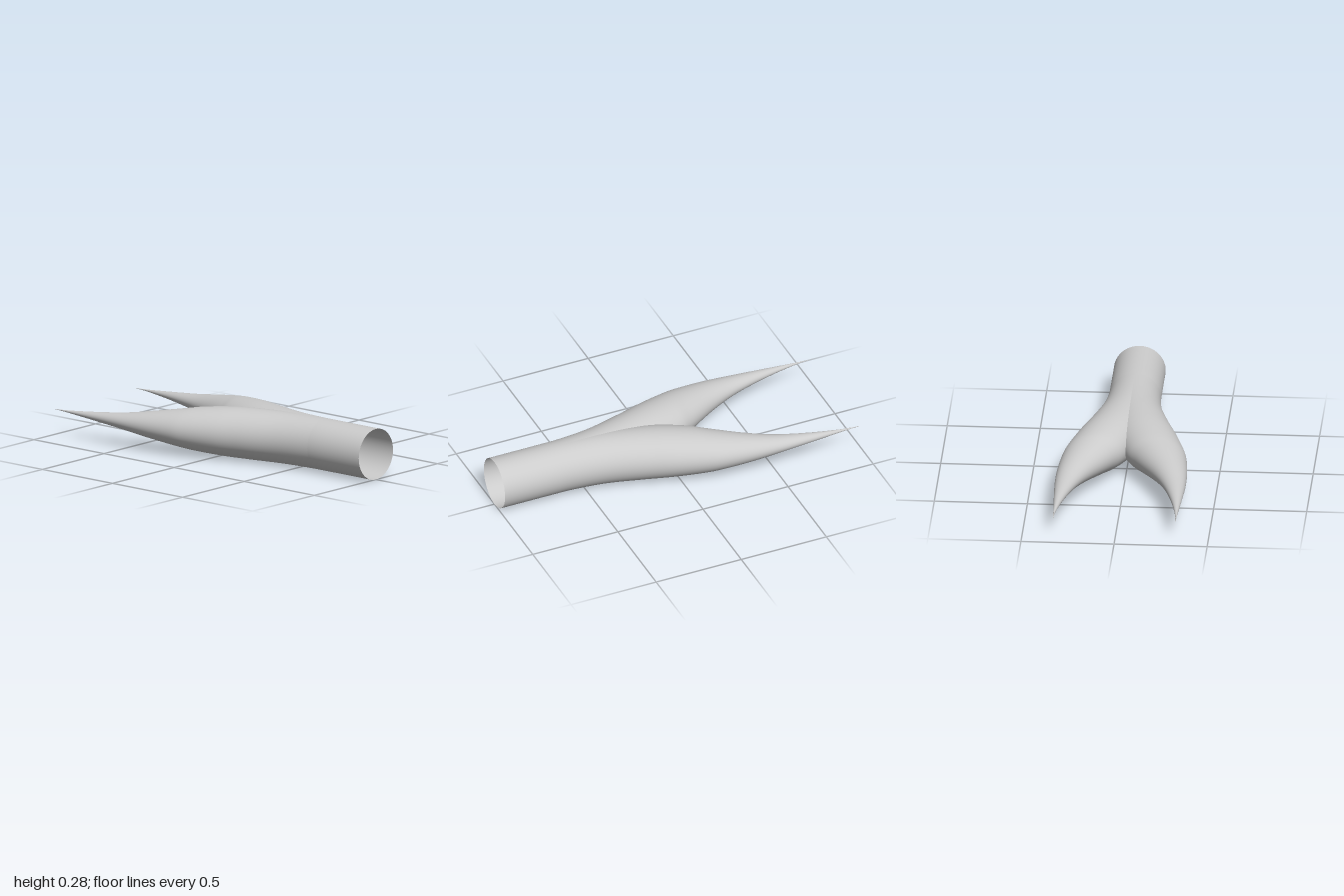
import * as THREE from 'three';

// Stations along one branch, open mouth to tip: z, outer x, inner x, half height
const STATIONS = [
  [1.0, 0.139, -0.139, 0.139],
  [0.8, 0.139, -0.139, 0.139],
  [0.6, 0.141, -0.139, 0.139],
  [0.4, 0.166, -0.132, 0.139],
  [0.2, 0.222, -0.1, 0.138],
  [0.05, 0.272, -0.062, 0.133],
  [-0.1, 0.315, 0.0, 0.119],
  [-0.2, 0.335, 0.062, 0.103],
  [-0.37, 0.349, 0.162, 0.073],
  [-0.53, 0.351, 0.232, 0.046],
  [-0.72, 0.343, 0.286, 0.024],
  [-0.9, 0.333, 0.32, 0.007],
  [-1.0, 0.329, 0.328, 0.0005],
];
const CENTRE_Y = 0.14;
const RINGS = 96;
const SIDES = 64;

// Loft of elliptical rings; side is +1 for the left branch, -1 for the right
function branchGeometry(side) {
  const centre = new THREE.CatmullRomCurve3(
    STATIONS.map(([z, o, i]) => new THREE.Vector3((o + i) / 2, CENTRE_Y, z)), false, 'catmullrom');
  const radii = new THREE.CatmullRomCurve3(
    STATIONS.map(([z, o, i, h]) => new THREE.Vector3((o - i) / 2, h, z)), false, 'catmullrom');
  const positions = [];
  const indices = [];
  for (let i = 0; i <= RINGS; i++) {
    const c = centre.getPoint(i / RINGS);
    const r = radii.getPoint(i / RINGS);
    for (let j = 0; j < SIDES; j++) {
      const a = (j / SIDES) * Math.PI * 2;
      positions.push(side * (c.x + r.x * Math.cos(a)), c.y + r.y * Math.sin(a), c.z);
      if (i === RINGS) continue;
      const p = i * SIDES + j;
      const q = i * SIDES + ((j + 1) % SIDES);
      const quad = [p, p + SIDES, q, q, p + SIDES, q + SIDES];
      indices.push(...(side > 0 ? quad : quad.reverse()));
    }
  }
  const geometry = new THREE.BufferGeometry();
  geometry.setAttribute('position', new THREE.Float32BufferAttribute(positions, 3));
  geometry.setIndex(indices);
  geometry.computeVertexNormals();
  return geometry;
}

export function createModel() {
  const model = new THREE.Group();
  model.name = 'forkedTube';
  const material = new THREE.MeshStandardMaterial({ color: 0xcccccc, side: THREE.DoubleSide });
  // Two tubes share the open mouth and part into pointed tips
  for (const [name, side] of [['leftBranch', 1], ['rightBranch', -1]]) {
    const mesh = new THREE.Mesh(branchGeometry(side), material);
    mesh.name = name;
    model.add(mesh);
  }
  return model;
}
